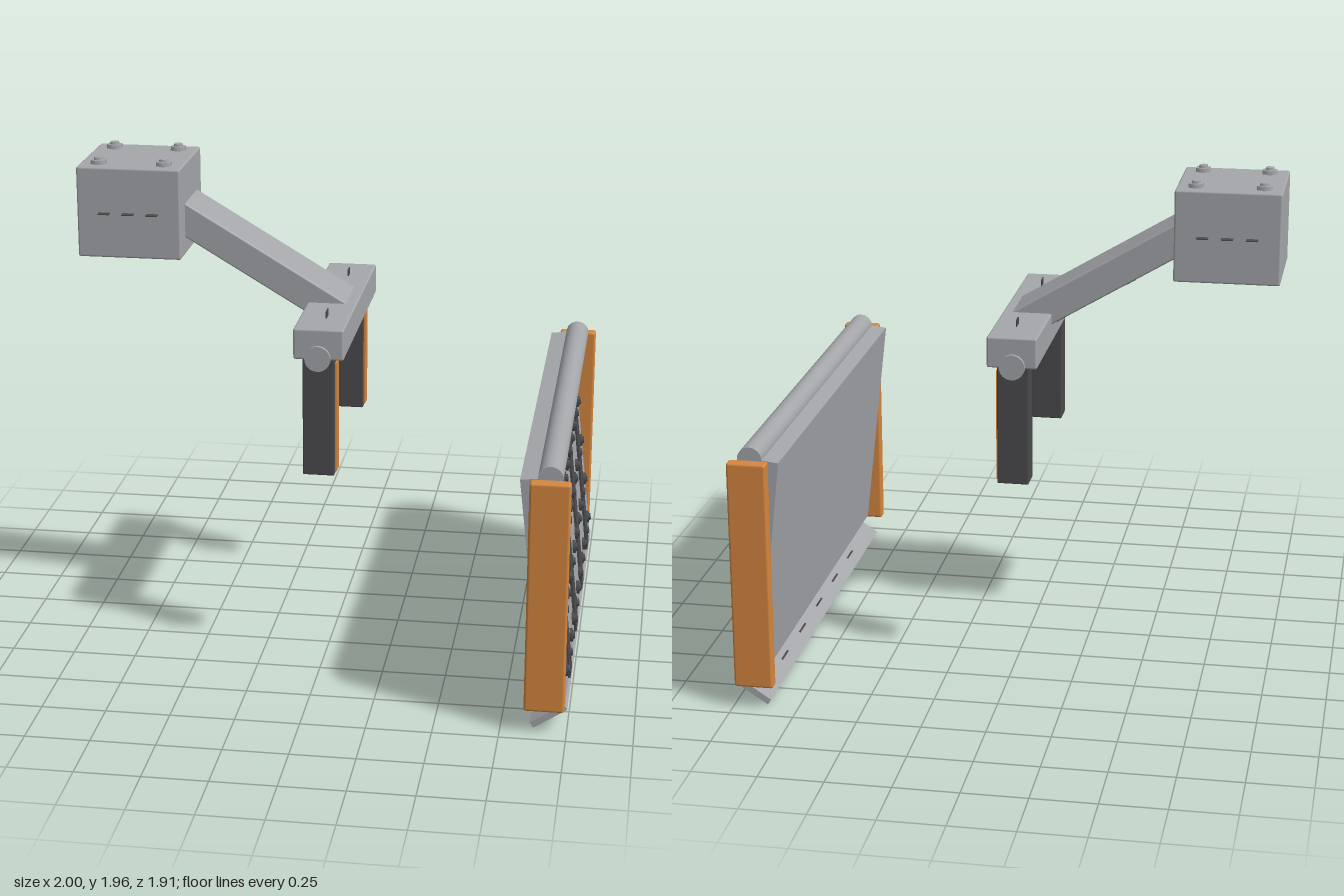
import * as THREE from 'three';
import { RoundedBoxGeometry } from 'three/addons/geometries/RoundedBoxGeometry.js';
import { mergeGeometries } from 'three/addons/utils/BufferGeometryUtils.js';

const mat = (name, color, extra = {}) => {
  const m = new THREE.MeshStandardMaterial({ color, ...extra });
  m.name = name;
  return m;
};

export function createModel() {
  const steel = mat('steel grey', 0xa4a6aa);
  const dark = mat('dark grey', 0x4b4b4e);
  const orange = mat('orange', 0xd4873f);
  const model = new THREE.Group();

  const add = (name, geo, material, x, y, z, parent = model) => {
    const mesh = new THREE.Mesh(geo, material);
    mesh.name = name;
    mesh.position.set(x, y, z);
    parent.add(mesh);
    return mesh;
  };
  const box = (w, h, d) => new THREE.BoxGeometry(w, h, d);
  const rounded = (w, h, d, r = 0.008) => new RoundedBoxGeometry(w, h, d, 2, r);

  // Hex bolt standing on y = 0: broad flange with a smaller head
  const boltGeometry = (radius, height) => {
    const flange = new THREE.CylinderGeometry(radius * 0.95, radius, height * 0.6, 6).translate(0, height * 0.3, 0);
    const head = new THREE.CylinderGeometry(radius * 0.55, radius * 0.6, height * 0.4, 6).translate(0, height * 0.8, 0);
    return mergeGeometries([flange, head]).toNonIndexed();
  };

  // Mounting block with top bolts and thin side tabs
  add('mountingBlock', rounded(0.41, 0.36, 0.415), steel, -0.795, 1.75, 0);
  const blockBolt = boltGeometry(0.033, 0.026);
  for (const sx of [-1, 1]) for (const sz of [-1, 1]) {
    add('blockBolt', blockBolt, steel, -0.795 + sx * 0.13, 1.93, sz * 0.136);
  }
  for (const sz of [-1, 1]) for (const dx of [-0.095, 0, 0.095]) {
    add('blockTab', box(0.045, 0.004, 0.03), dark, -0.795 + dx, 1.75, sz * 0.22);
  }

  // Sloping arm, with two tabs on the underside
  const arm = new THREE.Group();
  arm.name = 'arm';
  arm.position.set(-0.30, 1.535, 0);
  arm.rotation.z = -0.538;
  model.add(arm);
  add('armBeam', rounded(0.75, 0.12, 0.235), steel, 0, 0, 0, arm);
  add('armTab', box(0.04, 0.02, 0.004), dark, -0.075, -0.07, 0, arm);
  add('armTab', box(0.04, 0.02, 0.004), dark, 0.25, -0.07, 0, arm);

  // Crossbar and its pivot shaft
  add('crossbar', rounded(0.195, 0.122, 0.94), steel, -0.008, 1.333, 0);
  add('pivotShaft', new THREE.CylinderGeometry(0.05, 0.05, 0.97, 24).rotateX(Math.PI / 2), steel, -0.01, 1.28, 0);

  // Legs with orange pads, and the tabs above them
  for (const sz of [-1, 1]) {
    add('leg', rounded(0.123, 0.48, 0.1, 0.005), dark, -0.01, 1.04, sz * 0.408);
    add('legPad', box(0.008, 0.44, 0.064), orange, 0.054, 1.032, sz * 0.408);
    add('crossbarTab', box(0.004, 0.03, 0.045), dark, 0, 1.406, sz * 0.296);
  }

  // Tilted panel with dark straps and a grid of bolts
  const panel = new THREE.Group();
  panel.name = 'panel';
  panel.position.set(0.896, 0.552, 0);
  panel.rotation.z = 0.113;
  model.add(panel);
  add('panelPlate', box(0.09, 0.9, 1.808), steel, 0, 0, 0, panel);
  for (const z of [-0.645, -0.215, 0.215, 0.645]) {
    add('panelStrap', box(0.009, 0.87, 0.113), dark, 0.0495, -0.005, z, panel);
  }
  const panelBolt = boltGeometry(0.027, 0.019).rotateZ(-Math.PI / 2);
  for (let row = -2; row <= 2; row++) for (let col = -5; col <= 5; col++) {
    add('panelBolt', panelBolt, dark, 0.045, -0.007 + row * 0.1785, col * 0.1572, panel);
  }

  // Top roll and side plates around the panel
  add('topRoll', new THREE.CylinderGeometry(0.047, 0.047, 1.808, 24).rotateX(Math.PI / 2), steel, 0.912, 1.003, 0);
  for (const sz of [-1, 1]) {
    add('sidePlate', rounded(0.152, 0.91, 0.05, 0.01), orange, 0.914, 0.546, sz * 0.93);
  }

  // Sloping lower lip with blocks underneath
  add('lowerLip', box(0.15, 0.025, 1.808), steel, 0.93, 0.053, 0).rotation.z = 0.588;
  for (let i = -2; i <= 2; i++) {
    add('lipBlock', box(0.08, 0.026, 0.088), dark, 0.938, 0.038, i * 0.273);
  }
  return model;
}
